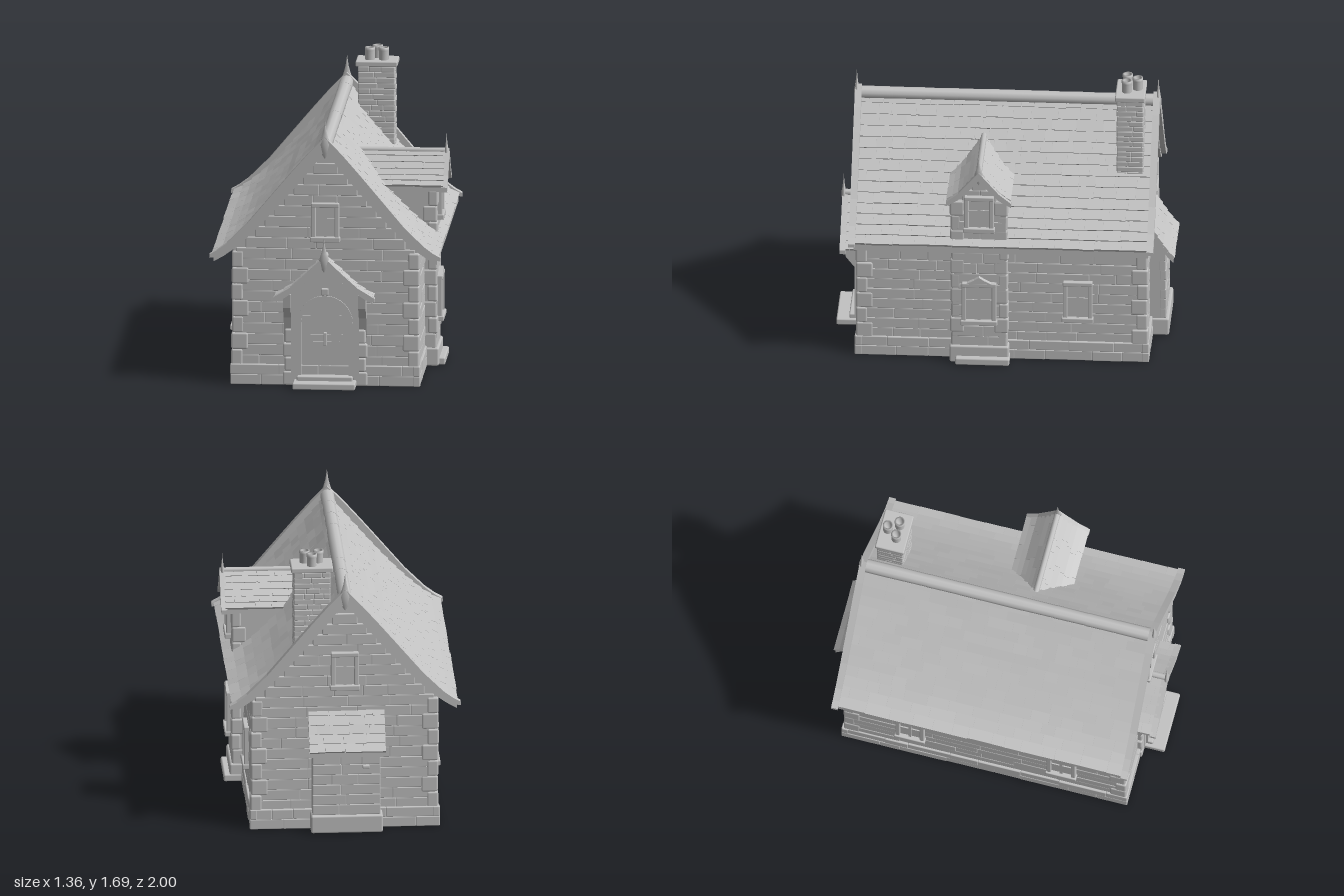
import * as THREE from 'three';
import { mergeGeometries } from 'three/addons/utils/BufferGeometryUtils.js';
import { RoundedBoxGeometry } from 'three/addons/geometries/RoundedBoxGeometry.js';

const stone = new THREE.MeshStandardMaterial({ color: 0xc2c2c2 });
stone.name = 'pale grey';

let seed = 7;
const rnd = (a = 0, b = 1) => {
  seed = (seed * 16807) % 2147483647;
  return a + (b - a) * (seed / 2147483647);
};

function add(parent, name, geo, x = 0, y = 0, z = 0) {
  const m = new THREE.Mesh(geo, stone);
  m.name = name;
  m.position.set(x, y, z);
  parent.add(m);
  return m;
}
function group(parent, name, x = 0, y = 0, z = 0, ry = 0) {
  const g = new THREE.Group();
  g.name = name;
  g.position.set(x, y, z);
  g.rotation.y = ry;
  parent.add(g);
  return g;
}
// box given by its two corners
function block(parent, name, x0, x1, y0, y1, z0, z1, r = 0) {
  const s = [x1 - x0, y1 - y0, z1 - z0];
  const geo = r ? new RoundedBoxGeometry(...s, 1, r) : new THREE.BoxGeometry(...s);
  return add(parent, name, geo, (x0 + x1) / 2, (y0 + y1) / 2, (z0 + z1) / 2);
}
const prism = (pts, z0, z1) => new THREE.ExtrudeGeometry(
  new THREE.Shape(pts.map(p => new THREE.Vector2(...p))),
  { depth: z1 - z0, bevelEnabled: false }).translate(0, 0, z0);

// courses of uneven stones on the local z = 0 plane; half(y) gives half the wall width
function courses(parent, name, half, y0, y1, rowH, len, out = 0.013) {
  const geos = [];
  const rows = Math.round((y1 - y0) / rowH), h = (y1 - y0) / rows;
  for (let i = 0; i < rows; i++) {
    const y = y0 + i * h, w = half(y + h);
    if (w < 0.03) continue;
    for (let x = -w; x < w - 0.001;) {
      let l = len * rnd(0.6, 1.5);
      if (w - x - l < len * 0.5) l = w - x;
      const o = out * rnd(0.75, 1.1);
      geos.push(new RoundedBoxGeometry(l * 1.01, h * 1.03, 0.04, 1, 0.006)
        .translate(x + l / 2, y + h / 2, o - 0.02));
      x += l;
    }
  }
  return add(parent, name, mergeGeometries(geos));
}

// solid strip following a roof line, t thick measured downwards, thinning by taper at the eave
function band(pts, s, t, z0, z1, taper = 0) {
  const under = pts.map(([x, y], i) => [s * x, y - t * (1 - taper * (i / (pts.length - 1)) ** 2)]);
  return prism([...pts.map(p => [s * p[0], p[1]]), ...under.reverse()], z0, z1);
}

// roof slopes with overlapping slates, following a curved line from ridge to eave
function roof(parent, name, line, z0, z1, rows, len, sides = [1, -1], t = 0.04) {
  const g = group(parent, name);
  const curve = new THREE.CatmullRomCurve3(line.map(p => new THREE.Vector3(p[0], p[1], 0)));
  const pts = curve.getSpacedPoints(rows).map(p => [p.x, p.y]);
  for (const s of sides) {
    add(g, 'roofSlope', band(pts, s, t, z0, z1));
    const tiles = [];
    for (let i = 0; i < rows; i++) {
      const [ax, ay] = pts[i], [bx, by] = pts[i + 1];
      const l = Math.hypot(bx - ax, by - ay), a = Math.atan2(by - ay, bx - ax);
      for (let z = z0; z < z1 - 0.001;) {
        let w = len * rnd(0.6, 1.4);
        if (z1 - z - w < len * 0.4) w = z1 - z;
        tiles.push(new THREE.BoxGeometry(l * rnd(1.05, 1.2), 0.014, w - 0.001)
          .rotateZ(a + rnd(0.08, 0.16)).translate((ax + bx) / 2, (ay + by) / 2 + 0.004, z + w / 2));
        z += w;
      }
    }
    const geo = mergeGeometries(tiles);
    if (s < 0) geo.rotateY(Math.PI).translate(0, 0, z0 + z1);
    add(g, 'slates', geo);
  }
}

function finial(parent, x, y, z, w, h) {
  const prof = [[0, 0], [0.7, 0.15], [1, 0.38], [0.6, 0.55], [0.28, 0.72], [0, 1]];
  add(parent, 'finial', new THREE.LatheGeometry(
    prof.map(p => new THREE.Vector2(p[0] * w, p[1] * h)), 10), x, y, z).scale.z = 0.5;
}

// casement window facing local +z, centred at the group origin
function windowUnit(parent, x, y, z, ry, w, h) {
  const g = group(parent, 'window', x, y, z, ry), a = w / 2, b = h / 2, f = 0.027;
  block(g, 'windowPane', -a + 0.01, a - 0.01, -b + 0.01, b - 0.01, -0.02, 0.017);
  for (const s of [-1, 1]) {
    block(g, 'windowJamb', s * (a - f / 2) - f / 2, s * (a - f / 2) + f / 2, -b, b, -0.02, 0.034, 0.006);
  }
  block(g, 'windowLintel', -a, a, b - f, b, -0.02, 0.036, 0.006);
  block(g, 'windowSill', -a - 0.006, a + 0.006, -b - 0.004, -b + f, -0.02, 0.044, 0.006);
  block(g, 'mullion', -0.008, 0.008, -b + f, b - f, 0, 0.026);
  block(g, 'glazingBar', -a + f, a - f, 0.012, 0.024, 0, 0.024);
}

// stacked corner stones, alternating long and short
function quoins(parent, x, z, y0, y1, n, size) {
  const h = (y1 - y0) / n, sx = Math.sign(x), sz = Math.sign(z);
  for (let i = 0; i < n; i++) {
    const a = size * (i % 2 ? 1 : 0.68), b = size * (i % 2 ? 0.68 : 1), o = rnd(-0.004, 0.004);
    add(parent, 'quoin', new RoundedBoxGeometry(a, h * 1.01, b, 1, 0.012),
      x - sx * (a / 2 - o), y0 + (i + 0.5) * h, z - sz * (b / 2 - o));
  }
}

export function createModel() {
  const house = new THREE.Group();
  house.name = 'cottage';
  const line = [[0, 1.455], [0.1, 1.325], [0.2, 1.207], [0.3, 1.092], [0.46, 0.925], [0.58, 0.825], [0.66, 0.778]];

  // main body with gable ends
  const body = [[-0.535, 0], [0.535, 0], [0.535, 0.83], [0.46, 0.9], [0.3, 1.07], [0, 1.42],
    [-0.3, 1.07], [-0.46, 0.9], [-0.535, 0.83]];
  add(house, 'walls', prism(body, -0.84, 0.84));
  const gable = y => Math.min(0.535, (1.42 - y) / 1.14);
  for (const s of [1, -1]) {
    const end = group(house, s > 0 ? 'frontWall' : 'backWall', 0, 0, s * 0.84, s > 0 ? 0 : Math.PI);
    courses(end, 'gableStones', gable, 0.11, 1.4, 0.066, 0.24);
    const side = group(house, s > 0 ? 'leftWall' : 'rightWall', s * 0.535, 0, 0, s * Math.PI / 2);
    courses(side, 'sideStones', () => 0.84, 0.11, 0.82, 0.066, 0.25);
    for (const t of [1, -1]) quoins(house, s * 0.554, t * 0.86, 0.11, 0.8, 7, 0.1);
    courses(group(house, 'endPlinth', 0, 0, s * 0.855, s > 0 ? 0 : Math.PI), 'plinthStones', () => 0.56, 0, 0.12, 0.06, 0.2, 0.014);
    courses(group(house, 'sidePlinth', s * 0.548, 0, 0, s * Math.PI / 2), 'plinthStones', () => 0.868, 0, 0.12, 0.06, 0.2, 0.013);
    windowUnit(house, 0, 0.985, s * 0.845, s > 0 ? 0 : Math.PI, 0.165, 0.23);
  }
  windowUnit(house, 0.54, 0.39, -0.448, Math.PI / 2, 0.175, 0.26);
  for (const z of [-0.45, 0.47]) windowUnit(house, -0.54, 0.39, z, -Math.PI / 2, 0.175, 0.26);

  // main roof, bargeboards, ridge and finials
  roof(house, 'mainRoof', line, -0.87, 0.87, 14, 0.12);
  const verge = [[0, 1.505], [0.1, 1.4], [0.2, 1.285], [0.28, 1.19], [0.46, 0.975], [0.58, 0.855], [0.64, 0.81], [0.682, 0.787]];
  for (const s of [1, -1]) for (const z of [-0.9, 0.86]) {
    add(house, 'bargeboard', band(verge, s, 0.085, z, z + 0.04, 0.75));
  }
  for (let i = 0; i < 9; i++) {
    add(house, 'ridgeTile', new THREE.CylinderGeometry(0.038 + rnd(0, 0.003), 0.04, 0.193, 10).rotateX(Math.PI / 2),
      0, 1.447, -0.772 + i * 0.193);
  }
  for (const z of [-0.89, 0.89]) finial(house, 0, 1.37, z, 0.034, 0.235);

  // chimney
  const chimney = group(house, 'chimney', 0.19, 0, -0.74);
  block(chimney, 'chimneyCore', -0.1, 0.1, 1.02, 1.59, -0.07, 0.07);
  for (const s of [1, -1]) {
    courses(group(chimney, 'chimneyFace', 0, 0, s * 0.07, s > 0 ? 0 : Math.PI), 'bricks', () => 0.107, 1.02, 1.585, 0.033, 0.08, 0.01);
    courses(group(chimney, 'chimneySide', s * 0.1, 0, 0, s * Math.PI / 2), 'bricks', () => 0.077, 1.02, 1.585, 0.033, 0.08, 0.01);
  }
  block(chimney, 'chimneyCap', -0.124, 0.124, 1.585, 1.618, -0.088, 0.088, 0.008);
  const pot = [[0.029, 0], [0.029, 0.05], [0.031, 0.058], [0.031, 0.075], [0.021, 0.075], [0.021, 0.03], [0, 0.03]];
  for (const [x, z] of [[0, -0.04], [-0.042, 0.022], [0.04, 0.022]]) {
    add(chimney, 'chimneyPot', new THREE.LatheGeometry(pot.map(p => new THREE.Vector2(...p)), 14), x, 1.617, z);
  }

  // side bay rising into a dormer, facing local +z
  const bay = group(house, 'dormerBay', 0, 0, 0.13, Math.PI / 2);
  add(bay, 'bayWalls', prism([[-0.16, 0], [0.16, 0], [0.16, 1.07], [0, 1.24], [-0.16, 1.07]], 0.2, 0.605));
  courses(group(bay, 'bayFace', 0, 0, 0.605), 'bayStones', y => Math.min(0.16, (1.25 - y) * 0.85), 0.1, 1.2, 0.068, 0.17);
  for (const s of [1, -1]) quoins(bay, s * 0.17, 0.62, 0.1, 1.06, 10, 0.085);
  block(bay, 'bayPlinth', -0.175, 0.175, 0, 0.11, 0.5, 0.63, 0.012);
  block(bay, 'baySlab', -0.14, 0.18, 0, 0.045, 0.5, 0.665, 0.01);
  windowUnit(bay, 0, 0.985, 0.61, 0, 0.175, 0.23);
  windowUnit(bay, 0, 0.395, 0.61, 0, 0.205, 0.27);
  add(bay, 'windowHood', prism([[-0.08, 0.525], [0.08, 0.525], [0.03, 0.55], [0, 0.57], [-0.03, 0.55]], 0.6, 0.645));
  const dLine = [[0, 1.265], [0.06, 1.195], [0.12, 1.13], [0.183, 1.083]];
  roof(bay, 'dormerRoof', dLine, 0.1, 0.655, 6, 0.13, [1, -1], 0.028);
  for (const s of [1, -1]) {
    add(bay, 'dormerBargeboard', band([[0, 1.28], [0.06, 1.21], [0.12, 1.14], [0.192, 1.082]], s, 0.055, 0.645, 0.68, 0.5));
  }
  add(bay, 'dormerRidge', new THREE.CylinderGeometry(0.018, 0.018, 0.55, 8).rotateX(Math.PI / 2), 0, 1.263, 0.39);
  finial(bay, 0, 1.19, 0.663, 0.026, 0.185);

  // front porch with arched doorway
  const porch = group(house, 'porch');
  const arch = (r, top) => Array.from({ length: 17 }, (_, i) => {
    const a = Math.PI * i / 16;
    return [Math.cos(a) * r, top + Math.sin(a) * r];
  });
  const opening = [[0.14, 0.05], ...arch(0.14, 0.38), [-0.14, 0.05]];
  const outer = [[-0.2, 0.05], [-0.2, 0.57], [0, 0.74], [0.2, 0.57], [0.2, 0.05]];
  add(porch, 'doorSurround', prism([...opening, ...outer], 0.83, 0.884));
  add(porch, 'archMoulding', prism([...opening, [-0.165, 0.05], ...arch(0.165, 0.38).reverse(), [0.165, 0.05]], 0.84, 0.894));
  add(porch, 'door', prism(opening, 0.83, 0.86));
  for (let i = -2; i <= 2; i++) block(porch, 'doorBoard', i * 0.055 - 0.025, i * 0.055 + 0.025, 0.06, 0.46 - Math.abs(i) * 0.02, 0.85, 0.864);
  for (const y of [0.255, 0.3]) block(porch, 'hingeStrap', -0.105, 0.105, y - 0.008, y + 0.008, 0.86, 0.872);
  block(porch, 'doorLatch', -0.01, 0.01, 0.24, 0.32, 0.86, 0.882, 0.004);
  block(porch, 'keystone', -0.022, 0.022, 0.55, 0.59, 0.87, 0.905, 0.006);
  const bracket = [[-0.84, 0.25], [-0.865, 0.33], [-0.885, 0.41], [-0.94, 0.48], [-0.95, 0.56], [-0.84, 0.56]];
  for (const s of [1, -1]) {
    const b = add(porch, 'bracket', prism(bracket, -0.022, 0.022), s * 0.222);
    b.rotation.y = Math.PI / 2;
    for (let i = 0; i < 4; i++) {
      const w = i % 2 ? 0.24 : 0.25;
      block(porch, 'pierStone', Math.min(s * 0.16, s * w), Math.max(s * 0.16, s * w), i * 0.085, (i + 1) * 0.085, 0.82, 0.88, 0.012);
    }
  }
  roof(porch, 'porchRoof', [[0, 0.775], [0.1, 0.685], [0.2, 0.595], [0.285, 0.545]], 0.83, 0.955, 6, 0.06, [1, -1], 0.03);
  for (const s of [1, -1]) {
    add(porch, 'porchBargeboard', band([[0, 0.795], [0.1, 0.7], [0.2, 0.61], [0.3, 0.55]], s, 0.055, 0.94, 0.975, 0.6));
  }
  add(porch, 'porchTie', prism([[-0.12, 0.625], [0.12, 0.625], [0, 0.74]], 0.87, 0.955));
  add(porch, 'porchRidge', new THREE.CylinderGeometry(0.02, 0.02, 0.14, 8).rotateX(Math.PI / 2), 0, 0.785, 0.9);
  finial(porch, 0, 0.7, 0.967, 0.03, 0.21);
  block(porch, 'upperStep', -0.165, 0.165, 0, 0.065, 0.84, 0.925, 0.008);
  block(porch, 'lowerStep', -0.185, 0.185, 0, 0.038, 0.84, 1.0, 0.008);

  // lean-to at the back, facing local +z
  const lean = group(house, 'leanTo', 0, 0, 0, Math.PI);
  const leanSide = [[0.8, 0], [0.935, 0], [0.935, 0.55], [0.8, 0.75]];
  add(lean, 'leanToWalls', prism(leanSide, -0.205, 0.195)).rotation.y = -Math.PI / 2;
  courses(group(lean, 'leanToFace', 0.005, 0, 0.935), 'leanToStones', () => 0.2, 0.11, 0.55, 0.066, 0.17, 0.012);
  block(lean, 'leanToPlinth', -0.205, 0.22, 0, 0.11, 0.8, 0.965, 0.012);
  block(lean, 'leanToLatch', 0.1, 0.14, 0.4, 0.42, 0.94, 0.965, 0.004);
  roof(group(lean, 'leanToCover', 0, 0, 0, -Math.PI / 2), 'leanToRoof',
    [[0.83, 0.745], [0.89, 0.655], [0.94, 0.575], [0.99, 0.515]], -0.235, 0.215, 5, 0.11, [1], 0.03);
  return house;
}
